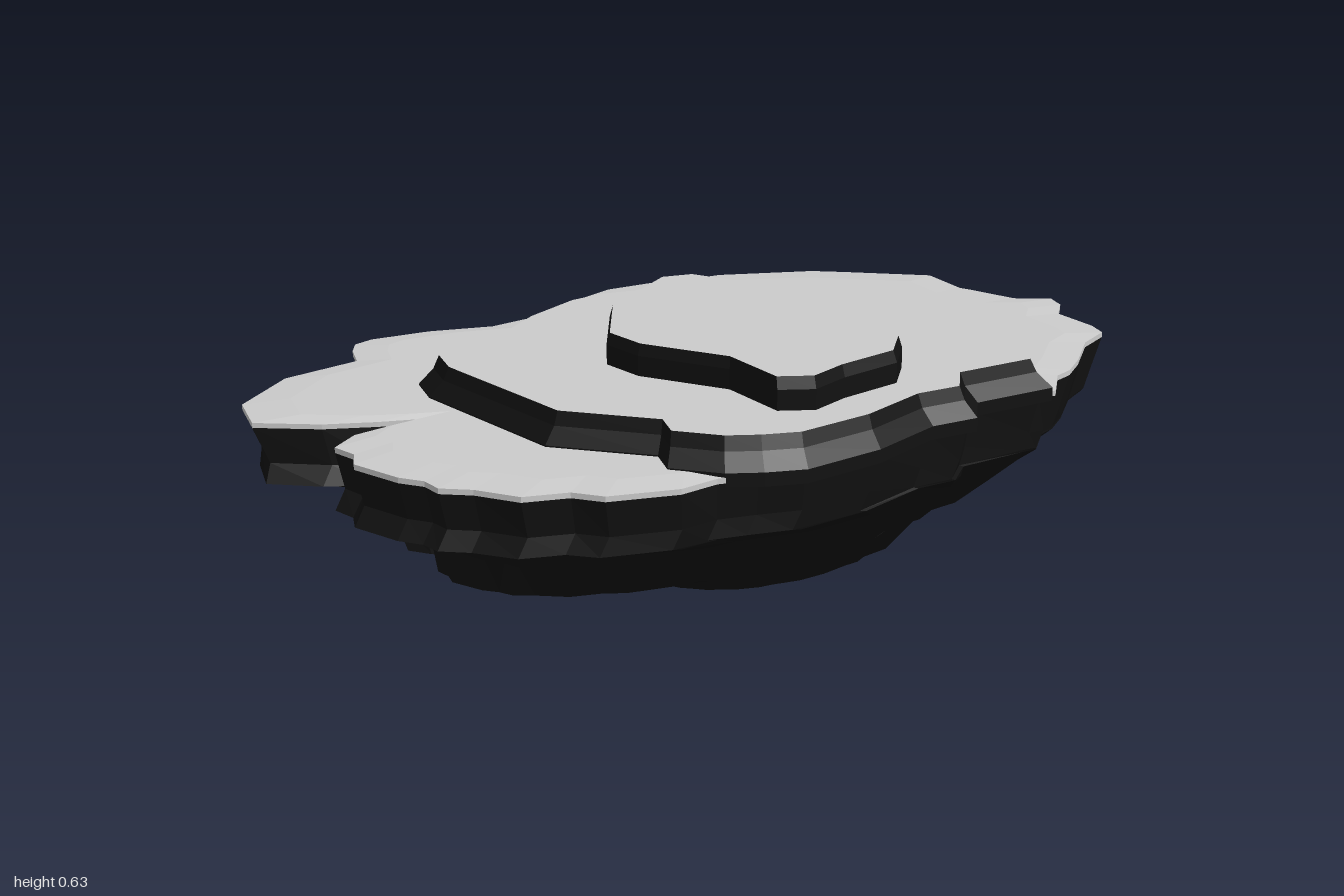
import * as THREE from 'three';

// Outlines as x, z pairs, clockwise when seen from above
const pairs = (a) => Array.from({ length: a.length / 2 }, (_, i) => [a[2 * i], a[2 * i + 1]]);

const PLATE = pairs([
  0.10, -1.0, 0.15, -0.98, 0.20, -0.92, 0.32, -0.91, 0.37, -0.89, 0.40, -0.80, 0.48, -0.69,
  0.52, -0.62, 0.53, -0.57, 0.60, -0.49, 0.59, -0.45, 0.56, -0.27, 0.62, -0.20, 0.60, -0.10,
  0.635, 0.08, 0.63, 0.26, 0.59, 0.35, 0.56, 0.43, 0.56, 0.52, 0.50, 0.66, 0.44, 0.70,
  0.40, 0.79, 0.31, 0.84, 0.26, 0.89, 0.21, 0.89, 0.16, 0.92, 0.04, 0.95, -0.01, 0.92,
  -0.07, 0.93, -0.11, 0.86, -0.11, 0.70, -0.15, 0.78, -0.21, 0.88, -0.31, 0.99, -0.43, 0.95,
  -0.53, 0.79, -0.54, 0.60, -0.61, 0.57, -0.65, 0.54, -0.66, 0.49, -0.63, 0.35, -0.57, 0.21,
  -0.57, 0.11, -0.61, -0.01, -0.65, -0.19, -0.63, -0.31, -0.59, -0.44, -0.58, -0.49, -0.46, -0.70,
  -0.40, -0.76, -0.24, -0.91, -0.11, -0.89, -0.08, -0.90, 0.04, -0.93,
]);
const LOWER_TIER = pairs([
  0.21, -0.52, 0.60, -0.48, 0.57, -0.28, 0.64, -0.21, 0.62, -0.10, 0.655, 0.08, 0.65, 0.27,
  0.61, 0.35, 0.565, 0.415, 0.47, 0.485, 0.40, 0.455, 0.21, 0.60, -0.20, 0.62, -0.29, 0.59,
  -0.38, 0.485, -0.335, 0.385, -0.415, 0.24, -0.465, 0.08, -0.465, -0.01, -0.435, -0.10,
  -0.445, -0.20, -0.27, -0.41, 0.03, -0.42,
]);
const UPPER_TIER = pairs([
  0.13, -0.265, 0.43, -0.18, 0.50, -0.10, 0.505, 0.05, 0.525, 0.145, 0.48, 0.21, 0.315, 0.20,
  0.125, 0.295, 0.02, 0.30, -0.145, 0.17, -0.26, -0.06, -0.235, -0.13, -0.01, -0.23,
]);

// A level ring from an outline, scaled about a centre
const ring = (outline, y, s = 1, cx = 0, cz = 0) =>
  outline.map(([x, z]) => [cx + (x - cx) * s, y, cz + (z - cz) * s]);

// Rings of equal length joined bottom to top, with optional end caps
function loft(rings, capBottom, capTop) {
  const n = rings[0].length;
  const index = [];
  for (let r = 0; r < rings.length - 1; r++) {
    for (let j = 0; j < n; j++) {
      const a = r * n + j, b = r * n + (j + 1) % n;
      index.push(a, a + n, b + n, a, b + n, b);
    }
  }
  const cap = (r, up) => {
    const pts = rings[r].map((p) => new THREE.Vector2(p[0], p[2]));
    for (const [a, b, c] of THREE.ShapeUtils.triangulateShape(pts.slice(), [])) {
      const facesDown = THREE.ShapeUtils.area([pts[a], pts[b], pts[c]]) > 0;
      const t = facesDown === up ? [a, c, b] : [a, b, c];
      index.push(...t.map((i) => r * n + i));
    }
  };
  if (capBottom) cap(0, false);
  if (capTop) cap(rings.length - 1, true);
  const g = new THREE.BufferGeometry();
  g.setAttribute('position', new THREE.Float32BufferAttribute(rings.flat(2), 3));
  g.setIndex(index);
  const flat = g.toNonIndexed();
  flat.computeVertexNormals();
  return flat;
}

// Plate outline fitted to a box and rounded towards an ellipse
function rockRing([y, x0, x1, z0, z1, round]) {
  return PLATE.map(([x, z]) => {
    let u = (x + 0.0125) / 0.6475, v = (z + 0.005) / 0.995;
    const k = 1 - round + round / Math.hypot(u, v);
    u *= k;
    v *= k;
    return [(x0 + x1) / 2 + u * (x1 - x0) / 2, y, (z0 + z1) / 2 + v * (z1 - z0) / 2];
  });
}

export function createModel() {
  const model = new THREE.Group();
  const grey = new THREE.MeshStandardMaterial({ color: 0xcccccc, flatShading: true });
  const dark = new THREE.MeshStandardMaterial({ color: 0x111111, flatShading: true });
  const add = (name, geometry, material) => {
    const mesh = new THREE.Mesh(geometry, material);
    mesh.name = name;
    model.add(mesh);
  };

  // Stepped rock underside: y, x range, z range, roundness
  const levels = [
    [0, -0.295, 0.21, -0.58, 0.18, 0.6],
    [0.1, -0.36, 0.30, -0.655, 0.32, 0.6],
    [0.1, -0.37, 0.31, -0.715, 0.485, 0.55],
    [0.15, -0.40, 0.36, -0.785, 0.60, 0.55],
    [0.15, -0.42, 0.38, -0.865, 0.73, 0.5],
    [0.23, -0.52, 0.48, -0.885, 0.74, 0.5],
    [0.30, -0.575, 0.56, -0.92, 0.80, 0.4],
    [0.345, -0.62, 0.62, -0.955, 0.96, 0.2],
    [0.35, -0.62, 0.62, -0.96, 0.995, 0.15],
    [0.39, -0.635, 0.625, -0.97, 0.97, 0.08],
    [0.47, -0.66, 0.635, -1, 0.99, 0],
  ];
  add('rockBase', loft(levels.map(rockRing), true, true), dark);

  // Thin ground plate with a slightly lowered rim
  add('groundPlate', loft([ring(PLATE, 0.469), ring(PLATE, 0.481), ring(PLATE, 0.487, 0.9)], true, true), grey);

  // Two raised tiers: dark walls with grey tops
  const tier = (name, outline, cx, cz, steps) => {
    const rings = steps.map(([y, s]) => ring(outline, y, s, cx, cz));
    add(name + 'Wall', loft(rings, false, false), dark);
    add(name + 'Top', loft([rings[rings.length - 1]], false, true), grey);
  };
  tier('lowerTier', LOWER_TIER, 0.09, 0.05, [[0.46, 1], [0.49, 1], [0.525, 0.95], [0.555, 0.93]]);
  tier('upperTier', UPPER_TIER, 0.13, 0.02, [[0.55, 1.01], [0.6, 1.01], [0.626, 0.985]]);

  return model;
}
